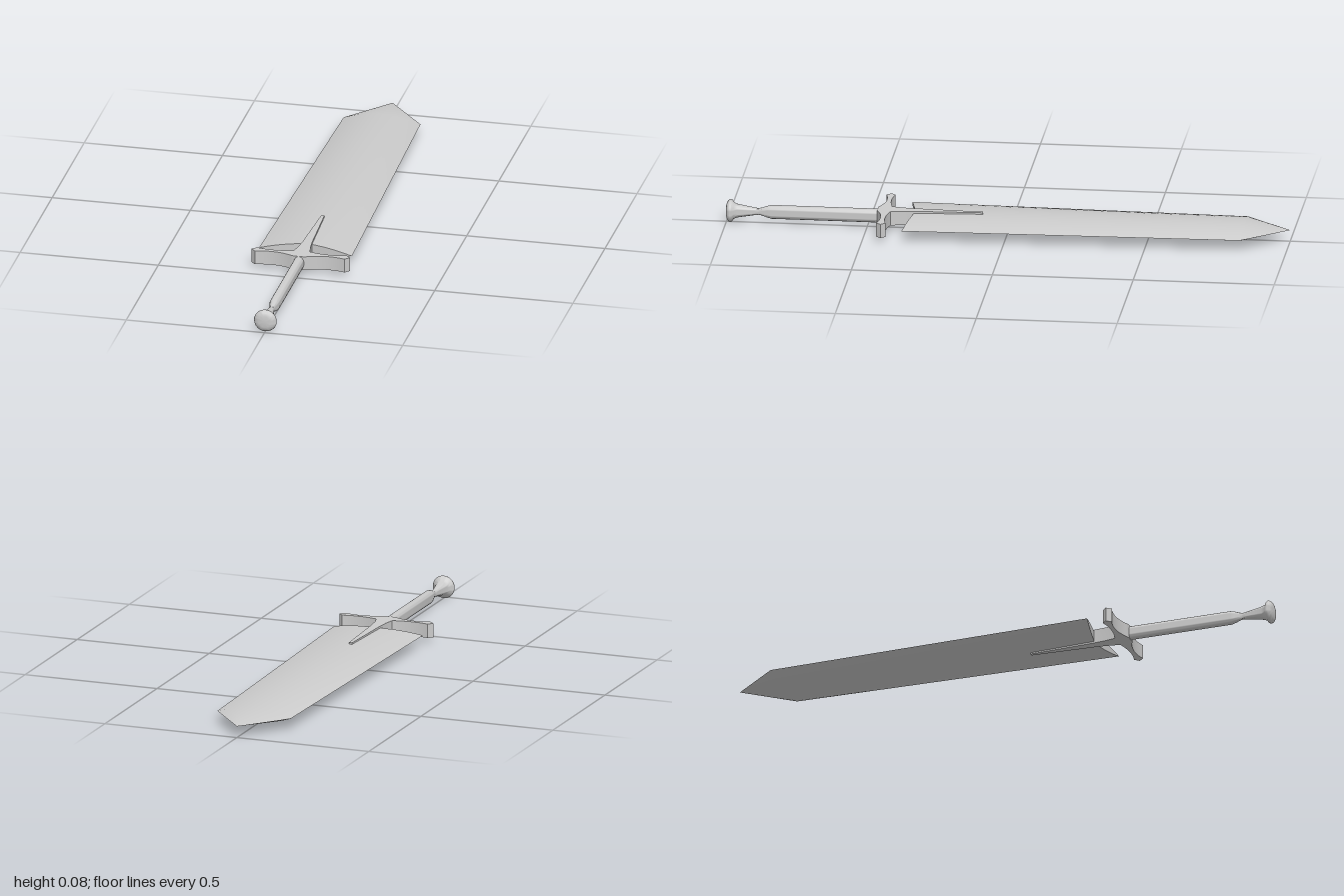
import * as THREE from 'three';
import { toCreasedNormals } from 'three/addons/utils/BufferGeometryUtils.js';

const material = new THREE.MeshStandardMaterial({ color: 0xcccccc });
const AXIS_Y = 0.042; // height of the sword's long axis

function addPart(group, name, geometry, crease = 0.5) {
  const mesh = new THREE.Mesh(toCreasedNormals(geometry, crease), material);
  mesh.name = name;
  group.add(mesh);
  return mesh;
}

// Lens-section blade lofted from the notched base to the shoulder, then to a point
function bladeGeometry() {
  const N = 24; // steps across the width
  const stations = [
    { z: 0.33, notch: 0.03, w: 0.168, h: 0.019 },
    { z: -0.835, notch: 0, w: 0.139, h: 0.025 },
    { z: -1, notch: 0, w: 0, h: 0 },
  ];
  const pos = [], index = [], ring = 2 * N;
  for (const s of stations) {
    for (let i = 0; i < ring; i++) {
      const top = i <= N;
      const t = top ? -1 + (2 * i) / N : 1 - (2 * (i - N)) / N;
      pos.push(s.w * t, (top ? 1 : -1) * s.h * (1 - t * t), s.z + s.notch * Math.abs(t));
    }
  }
  for (let s = 0; s < stations.length - 1; s++) {
    for (let i = 0; i < ring; i++) {
      const j = (i + 1) % ring;
      const a = s * ring + i, b = s * ring + j;
      index.push(a, b, a + ring);
      if (s < stations.length - 2) index.push(b, b + ring, a + ring);
    }
  }
  // close the notched base
  for (let i = 0; i < N; i++) {
    const under = (k) => (ring - k) % ring;
    if (i > 0) index.push(i, under(i), i + 1);
    if (i < N - 1) index.push(i + 1, under(i), under(i + 1));
  }
  const g = new THREE.BufferGeometry();
  g.setAttribute('position', new THREE.Float32BufferAttribute(pos, 3));
  g.setIndex(index);
  return g;
}

// Crossguard with flared arms and a long spike running up the blade
function guardGeometry() {
  const v = (x, y) => new THREE.Vector2(x, y);
  const arc = (a, c, b) => new THREE.QuadraticBezierCurve(a, c, b).getPoints(10);
  const half = [
    v(0.006, 0.09), v(0.017, 0.33), v(0.022, 0.38),
    ...arc(v(0.03, 0.415), v(0.1, 0.435), v(0.162, 0.418)),
    v(0.178, 0.434),
    ...arc(v(0.162, 0.451), v(0.09, 0.428), v(0.02, 0.463)),
  ];
  const mirrored = half.map((p) => v(-p.x, p.y)).reverse();
  const g = new THREE.ExtrudeGeometry(new THREE.Shape([...half, ...mirrored]), {
    depth: 0.051, bevelEnabled: false,
  });
  g.rotateX(Math.PI / 2);
  return g;
}

// Turned part along z, oval at the grip and round at the pommel
function turnedGeometry(profile) {
  const g = new THREE.LatheGeometry(profile.map(([r, z]) => new THREE.Vector2(r, z)), 32);
  g.rotateX(Math.PI / 2);
  const p = g.attributes.position;
  for (let i = 0; i < p.count; i++) {
    const round = THREE.MathUtils.smoothstep(p.getZ(i), 0.86, 0.98);
    p.setX(i, p.getX(i) * THREE.MathUtils.lerp(0.75, 1, round));
  }
  return g;
}

export function createModel() {
  const sword = new THREE.Group();
  sword.name = 'sword';

  addPart(sword, 'blade', bladeGeometry()).position.y = AXIS_Y;
  addPart(sword, 'crossguard', guardGeometry()).position.y = 0.068;

  const grip = [[0, 0.44], [0.025, 0.44], [0.025, 0.84], [0.021, 0.855], [0.014, 0.875], [0.012, 0.885]];
  addPart(sword, 'grip', turnedGeometry(grip), 0.8).position.y = AXIS_Y;

  const pommel = [
    [0.012, 0.885], [0.014, 0.9], [0.019, 0.93], [0.024, 0.96], [0.029, 0.973],
    [0.039, 0.98], [0.041, 0.985], [0.039, 0.991], [0.031, 0.997], [0.021, 1], [0, 1],
  ];
  addPart(sword, 'pommel', turnedGeometry(pommel), 0.8).position.y = AXIS_Y;

  return sword;
}
